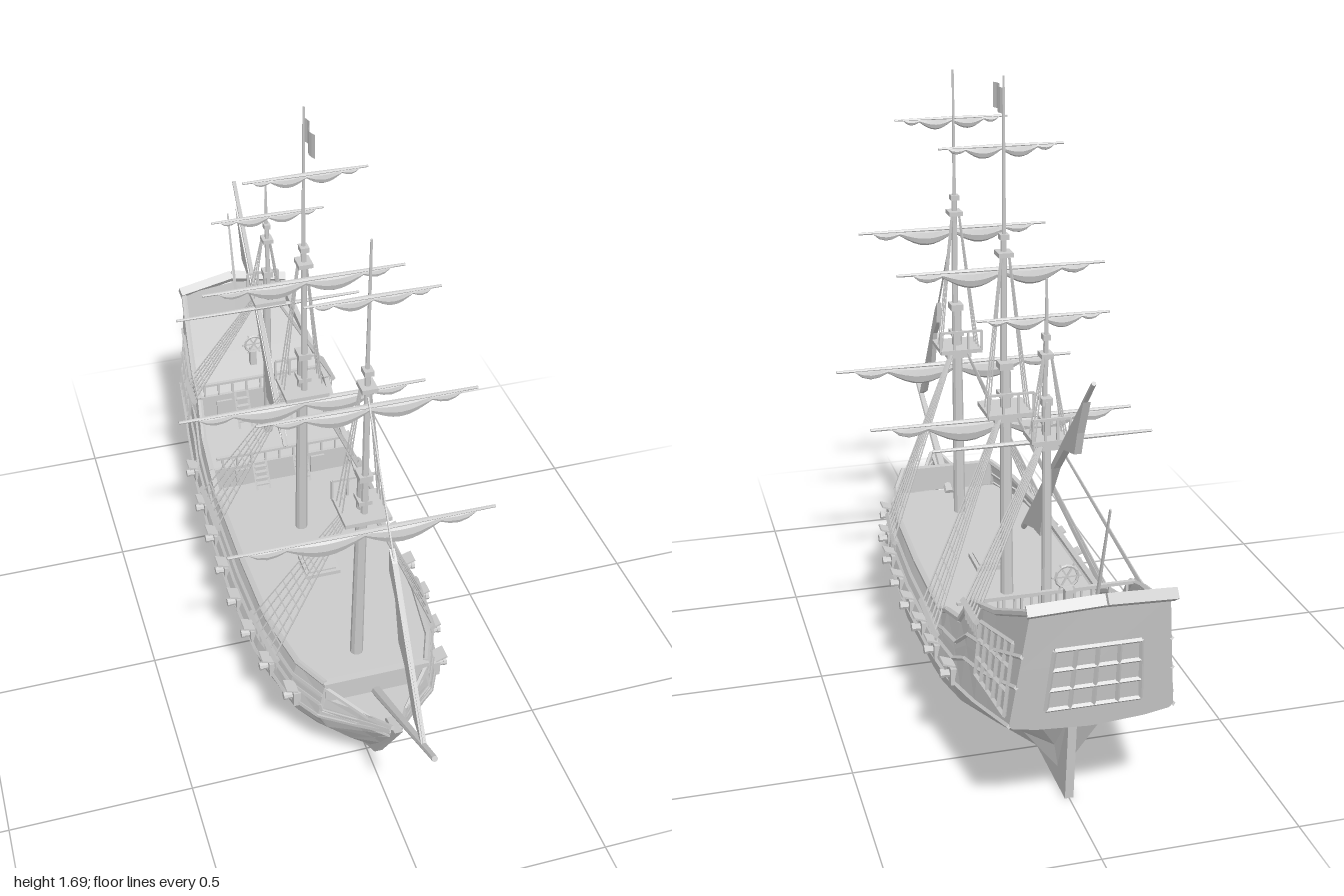
import * as THREE from 'three';
import { mergeGeometries } from 'three/addons/utils/BufferGeometryUtils.js';

const mat = new THREE.MeshStandardMaterial({ color: 0xcccccc, flatShading: true, side: THREE.DoubleSide });
const mix = THREE.MathUtils.lerp;
const V = (x, y, z) => new THREE.Vector3(x, y, z);

// Hull stations: z, keel y, wale y, rail y, then half-widths at bilge, turn, wale, rail
const stations = [
  [0.72, 0.29, 0.31, 0.33, 0.01, 0.012, 0.012, 0.012],
  [0.64, 0.18, 0.27, 0.32, 0.03, 0.06, 0.075, 0.07],
  [0.565, 0.09, 0.25, 0.31, 0.07, 0.13, 0.155, 0.14],
  [0.56, 0.085, 0.25, 0.365, 0.07, 0.135, 0.16, 0.14],
  [0.45, 0.035, 0.235, 0.35, 0.13, 0.19, 0.215, 0.185],
  [0.25, 0.02, 0.22, 0.333, 0.18, 0.235, 0.25, 0.215],
  [0, 0.02, 0.215, 0.325, 0.195, 0.25, 0.26, 0.22],
  [-0.3, 0.02, 0.22, 0.325, 0.18, 0.24, 0.255, 0.22],
  [-0.38, 0.02, 0.225, 0.365, 0.165, 0.235, 0.25, 0.22],
  [-0.5, 0.025, 0.235, 0.4, 0.12, 0.215, 0.245, 0.215],
  [-0.58, 0.035, 0.25, 0.49, 0.07, 0.185, 0.235, 0.205],
  [-0.68, 0.05, 0.27, 0.525, 0.02, 0.13, 0.225, 0.2],
  [-0.76, 0.24, 0.29, 0.55, 0.1, 0.18, 0.215, 0.19],
  [-0.9, 0.3, 0.33, 0.64, 0.13, 0.19, 0.2, 0.165],
];

// Half cross-section, keel to rail; the stern leans back
function section([z, k, w, t, x1, x2, x3, x5]) {
  const lean = Math.max(0, (-0.76 - z) / 0.14) * 0.15;
  return [[0.01, k], [x1, mix(k, w, 0.3)], [x2, mix(k, w, 0.68)], [x3, w], [(x3 + x5) / 2, (w + t) / 2], [x5, t]]
    .map(([x, y]) => V(x, y, z - lean * Math.max(0, y - 0.3)));
}
function stationAt(z) {
  let i = 0;
  while (i < stations.length - 2 && z < stations[i + 1][0]) i++;
  const a = stations[i], b = stations[i + 1], f = THREE.MathUtils.clamp((a[0] - z) / (a[0] - b[0]), 0, 1);
  return a.map((v, j) => mix(v, b[j], f));
}
function halfWidth(z, y) {
  const p = section(stationAt(z));
  for (let i = 0; i < 5; i++) if (y <= p[i + 1].y) return mix(p[i].x, p[i + 1].x, Math.max(0, (y - p[i].y) / (p[i + 1].y - p[i].y)));
  return p[5].x;
}

// Skin over rings of points
function loft(rings, closed = false) {
  const n = rings[0].length, idx = [];
  for (let r = 0; r < rings.length - 1; r++) for (let i = 0; i < (closed ? n : n - 1); i++) {
    const a = r * n + i, b = r * n + (i + 1) % n;
    idx.push(a, a + n, b, b, a + n, b + n);
  }
  const g = new THREE.BufferGeometry().setFromPoints(rings.flat()).setIndex(idx);
  g.computeVertexNormals();
  return g;
}
function rod(a, b, r = 0.002, r2 = r, sides = 5) {
  const d = b.clone().sub(a), g = new THREE.CylinderGeometry(r2, r, d.length(), sides);
  g.applyQuaternion(new THREE.Quaternion().setFromUnitVectors(V(0, 1, 0), d.normalize()));
  return g.translate((a.x + b.x) / 2, (a.y + b.y) / 2, (a.z + b.z) / 2);
}
const chain = (pts, r, sides) => pts.slice(1).map((p, i) => rod(pts[i], p, r, r, sides));
const box = (w, h, d, x, y, z) => new THREE.BoxGeometry(w, h, d).translate(x, y, z);
// Flat piece from [z, y] points, centred on x
function profile(pts, thick, x = 0) {
  const g = new THREE.ExtrudeGeometry(new THREE.Shape(pts.map(p => new THREE.Vector2(...p))), { depth: thick, bevelEnabled: false });
  return g.rotateY(-Math.PI / 2).translate(x + thick / 2, 0, 0);
}
function add(parent, name, geos) {
  const mesh = new THREE.Mesh(Array.isArray(geos) ? mergeGeometries(geos) : geos, mat);
  mesh.name = name;
  parent.add(mesh);
}
const flip = p => V(-p.x, p.y, p.z);
const both = f => [-1, 1].flatMap(f);

function buildHull(g) {
  const halves = stations.map(section);
  add(g, 'hull', loft(halves.map(h => [...h.map(flip).reverse(), ...h])));
  const stern = halves.at(-1);
  add(g, 'transom', loft([stern.map(flip), stern.map(p => V(0, p.y + (p.y > 0.6 ? 0.02 : 0), p.z)), stern]));
  add(g, 'keelAndRudder', profile([[0.75, 0.335], [0.67, 0.21], [0.6, 0.1], [0.52, 0.045], [0.37, 0], [-0.745, 0],
    [-0.765, 0.26], [-0.7, 0.25], [-0.66, 0.06], [0.35, 0.05], [0.52, 0.12], [0.62, 0.22], [0.68, 0.32]], 0.022));

  // Rails and wales follow the sections
  const along = f => halves.slice(f > 0.4 ? 3 : 0).map(h => h[3].clone().lerp(h[5], f));
  add(g, 'wales', [0, 0.35, 0.62].flatMap(f => both(s => chain(along(f).map(p => V(s * p.x, p.y, p.z)), 0.006, 4))));
  add(g, 'rails', both(s => chain(along(1).map(p => V(s * p.x, p.y, p.z)), 0.009, 6)));

  // Decks: z start, z end, y start, y end
  [['beakDeck', 0.7, 0.565, 0.305, 0.3], ['mainDeck', 0.56, -0.4, 0.285, 0.275], ['quarterDeck', -0.4, -0.62, 0.35, 0.37],
    ['poopDeck', -0.62, -0.92, 0.465, 0.57]].forEach(([name, z0, z1, y0, y1]) => {
    const rings = Array.from({ length: 13 }, (_, i) => {
      const z = mix(z0, z1, i / 12), y = mix(y0, y1, i / 12), w = halfWidth(z, y) - 0.002;
      return [V(w, y, z), V(-w, y, z)];
    });
    add(g, name, loft(rings));
  });
  add(g, 'bulkheads', [box(0.28, 0.07, 0.012, 0, 0.325, 0.56), box(0.43, 0.08, 0.01, 0, 0.312, -0.4),
    box(0.4, 0.1, 0.01, 0, 0.418, -0.62), box(0.29, 0.012, 0.02, 0, 0.362, 0.56)]);
  add(g, 'doors', both(s => [box(0.045, 0.06, 0.01, s * 0.12, 0.31, -0.393), box(0.05, 0.075, 0.01, s * 0.12, 0.41, -0.613)]));
  add(g, 'deckRails', [[-0.4, 0.39, 0.35], [-0.62, 0.51, 0.465]].flatMap(([z, y, d]) => [
    box(0.4, 0.008, 0.01, 0, y, z),
    ...[-4, -3, -2, -1, 0, 1, 2, 3, 4].map(i => box(0.006, y - d, 0.006, i * 0.045, (y + d) / 2, z))]));
  add(g, 'ladders', both(s => [[-0.35, 0.28, -0.4, 0.355], [-0.56, 0.365, -0.615, 0.47]].flatMap(([z0, y0, z1, y1]) => [
    ...[0.045, 0.085].map(x => rod(V(s * x, y0, z0), V(s * x, y1, z1), 0.004)),
    ...[0.2, 0.4, 0.6, 0.8].map(f => box(0.04, 0.005, 0.012, s * 0.065, mix(y0, y1, f), mix(z0, z1, f)))])));
  add(g, 'hatch', [box(0.1, 0.014, 0.1, 0, 0.285, 0.03), box(0.08, 0.02, 0.08, 0, 0.287, 0.03)]);
  add(g, 'helm', [box(0.02, 0.06, 0.02, 0, 0.53, -0.71), new THREE.TorusGeometry(0.028, 0.004, 5, 12).translate(0, 0.585, -0.695),
    ...[0, 1, 2].map(i => new THREE.BoxGeometry(0.075, 0.004, 0.004).rotateZ(i * Math.PI / 3).translate(0, 0.585, -0.695))]);

  // Taffrail, stern staff and beak rails
  add(g, 'taffrail', both(s => [rod(V(s * 0.175, 0.645, -0.955), V(0, 0.665, -0.98), 0.019, 0.019, 4)]));
  add(g, 'sternStaff', rod(V(0, 0.64, -0.92), V(0, 0.89, -0.995), 0.005, 0.003));
  add(g, 'beakRails', both(s => [...chain([V(s * 0.012, 0.34, 0.735), V(s * 0.05, 0.31, 0.66), V(s * 0.14, 0.345, 0.56)], 0.007),
    ...chain([V(s * 0.012, 0.29, 0.715), V(s * 0.07, 0.275, 0.64), V(s * 0.15, 0.27, 0.57)], 0.005)]));
}

function buildWindows(g) {
  const side = (s, c, r) => {
    const z = mix(-0.68, -0.88, c / 5), y = mix(0.345, mix(0.485, 0.53, c / 5), r / 3);
    return V(s * (halfWidth(z, y) + 0.004), y, z);
  };
  const back = (_, c, r) => {
    const y = mix(0.365, 0.53, r / 3);
    return V(mix(-0.115, 0.115, c / 4) * (1 - 0.1 * r / 3), y, -0.904 - 0.15 * (y - 0.3));
  };
  const grid = (f, s, cols) => [
    ...Array.from({ length: cols + 1 }, (_, c) => rod(f(s, c, 0), f(s, c, 3), 0.006, 0.006, 4)),
    ...[0, 1, 2, 3].flatMap(r => chain(Array.from({ length: cols + 1 }, (_, c) => f(s, c, r)), 0.006, 4))];
  add(g, 'quarterWindows', both(s => grid(side, s, 5)));
  add(g, 'sternWindows', grid(back, 1, 4));
}

function buildCannons(g) {
  [0.475, 0.34, 0.2, 0.06, -0.08, -0.22, -0.36, -0.515].forEach((z, i) => {
    const y = [0.258, 0.245, 0.24, 0.235, 0.235, 0.24, 0.247, 0.262][i], w = halfWidth(z, y);
    add(g, 'cannon', both(s => [
      box(0.02, 0.045, 0.042, s * w, y - 0.004, z),
      new THREE.BoxGeometry(0.034, 0.005, 0.042).rotateZ(s * 0.35).translate(s * (w + 0.014), y + 0.03, z),
      rod(V(s * (w - 0.03), y - 0.005, z), V(s * (w + 0.03), y, z), 0.013, 0.009, 8),
      rod(V(s * (w + 0.024), y, z), V(s * (w + 0.034), y, z), 0.012, 0.012, 8)]));
  });
}

// Furled sail hanging in scallops under a yard
function furledSail(y, z, half, h) {
  const rings = Array.from({ length: 25 }, (_, i) => {
    const t = i / 12 - 1, drop = h * (0.3 + 0.7 * Math.abs(Math.sin(t * Math.PI * 1.5))) * (1.02 - t ** 6);
    return Array.from({ length: 8 }, (_, k) => {
      const a = k * Math.PI / 4;
      return V(t * half * 0.86, y - drop * (0.5 - 0.5 * Math.cos(a)), z + (0.004 + drop * 0.22) * Math.sin(a));
    });
  });
  return loft(rings, true);
}

// Mast with top, caps, shrouds and yards
function buildMast(g, m) {
  const mast = new THREE.Group();
  mast.name = m.name;
  g.add(mast);
  const at = (y, x = 0, dz = 0) => V(x, y, m.z + 0.034 * (y - 0.3) + dz);
  const { topY, capY } = m, k = m.size, head = topY + 0.12 * k;
  add(mast, 'spars', [rod(at(m.base), at(head), 0.018 * k, 0.014 * k, 10), rod(at(topY, 0, 0.022), at(capY + 0.05, 0, 0.008), 0.01 * k, 0.008 * k, 8),
    rod(at(capY - 0.03, 0, 0.006), at(m.top), 0.006, 0.003, 6)]);
  const cap = (y, w, h, dz = 0.008) => { const p = at(y, 0, dz); return box(w, h, w * 1.2, 0, p.y, p.z); };
  const zt = at(topY).z, pw = 0.062 * k;
  add(mast, 'top', [box(pw * 2, 0.012, 0.12 * k, 0, topY, zt), box(pw * 1.2, 0.025, 0.06 * k, 0, topY - 0.016, zt),
    cap(head, 0.036 * k, 0.018), cap(topY + 0.04, 0.036 * k, 0.012), cap(capY, 0.04 * k, 0.012), cap(capY + 0.045, 0.024 * k, 0.014)]);
  add(mast, 'topRailing', [box(pw * 2, 0.006, 0.006, 0, topY + 0.06, zt - 0.055 * k),
    ...[-1, -0.33, 0.33, 1].map(f => box(0.006, 0.06, 0.006, f * pw, topY + 0.03, zt - 0.055 * k))]);

  // Lower shrouds with ratlines, and the channels they are set up on
  const [c0, c1, cy] = m.channel, lines = [], bars = [];
  both(s => {
    const foot = f => { const z = mix(c0, c1, f); return V(s * (halfWidth(z, cy) + 0.018), cy, z); };
    const head0 = f => at(topY - 0.01, s * 0.022, -0.01 - f * 0.03);
    for (let i = 0; i < 6; i++) lines.push(rod(foot(i / 5), head0(i / 5), 0.0028, 0.002, 4));
    for (let j = 1; j < 11; j++) lines.push(rod(foot(0).lerp(head0(0), j / 12), foot(1).lerp(head0(1), j / 12), 0.0018, 0.0018, 4));
    bars.push(rod(foot(-0.1), foot(1.1), 0.009, 0.009, 4));
    for (let i = 0; i < 6; i++) { const p = foot(i / 5); bars.push(rod(p, V(p.x - s * 0.004, cy - 0.05, p.z), 0.003, 0.003, 4)); }
    // Topmast shrouds
    const lo = i => at(topY, s * pw * 0.9, 0.01 - i * 0.025), hi = i => at(capY, s * 0.01, -i * 0.006);
    for (let i = 0; i < 3; i++) lines.push(rod(lo(i), hi(i), 0.002, 0.002, 4));
    for (let j = 1; j < 8; j++) lines.push(rod(lo(0).lerp(hi(0), j / 9), lo(2).lerp(hi(2), j / 9), 0.0016, 0.0016, 4));
    return [];
  });
  add(mast, 'shrouds', lines);
  add(mast, 'channels', bars);
  m.yards.forEach(([y, half, h]) => {
    const z = at(y).z + 0.024, r = 0.004 + half * 0.01;
    add(mast, 'yard', both(s => [rod(V(0, y, z), V(s * half, y, z), r, r * 0.55, 6)]));
    if (h) add(mast, 'furledSail', furledSail(y, z, half, h));
  });
}

export function createModel() {
  const g = new THREE.Group();
  g.name = 'sailingShip';
  buildHull(g);
  buildWindows(g);
  buildCannons(g);
  [{ name: 'foreMast', z: 0.393, base: 0.28, top: 1.62, topY: 0.81, capY: 1.21, size: 1, channel: [0.37, 0.2, 0.3],
    yards: [[0.75, 0.36, 0.055], [1.16, 0.28, 0.045], [1.48, 0.165, 0.03]] },
  { name: 'mainMast', z: -0.155, base: 0.27, top: 1.685, topY: 0.81, capY: 1.23, size: 1, channel: [-0.2, -0.37, 0.3],
    yards: [[0.775, 0.36, 0.055], [1.185, 0.28, 0.045], [1.505, 0.165, 0.03]] },
  { name: 'mizzenMast', z: -0.535, base: 0.35, top: 1.27, topY: 0.875, capY: 1.08, size: 0.75, channel: [-0.58, -0.68, 0.49],
    yards: [[0.855, 0.28, 0], [1.17, 0.165, 0.03]] }].forEach(m => buildMast(g, m));

  // Slanting mizzen yard with its furled sail
  add(g, 'lateenYard', rod(V(-0.02, 0.515, -0.25), V(-0.02, 1.11, -0.805), 0.008, 0.006, 6));
  add(g, 'lateenSail', profile([[-0.27, 0.535], [-0.37, 0.565], [-0.43, 0.57], [-0.46, 0.68], [-0.54, 0.8], [-0.62, 0.88],
    [-0.7, 0.9], [-0.72, 0.96], [-0.76, 1.05]], 0.018, -0.02));

  // Bowsprit, forestay and gathered headsail
  add(g, 'bowsprit', rod(V(0, 0.285, 0.53), V(0, 0.51, 0.997), 0.014, 0.008, 8));
  add(g, 'forestay', rod(V(0, 1.19, 0.435), V(0, 0.475, 0.925), 0.003));
  add(g, 'headsail', profile([[0.645, 0.875], [0.672, 0.85], [0.922, 0.48], [0.86, 0.51], [0.785, 0.615], [0.735, 0.65], [0.7, 0.76], [0.65, 0.81]], 0.014));

  // Rippled flag at the main masthead
  const flag = Array.from({ length: 9 }, (_, i) => [1.59, 1.655].map(y => V(0.008 * Math.sin(i * 0.8), y, -0.11 + i * 0.0125)));
  add(g, 'flag', loft(flag));
  return g;
}
